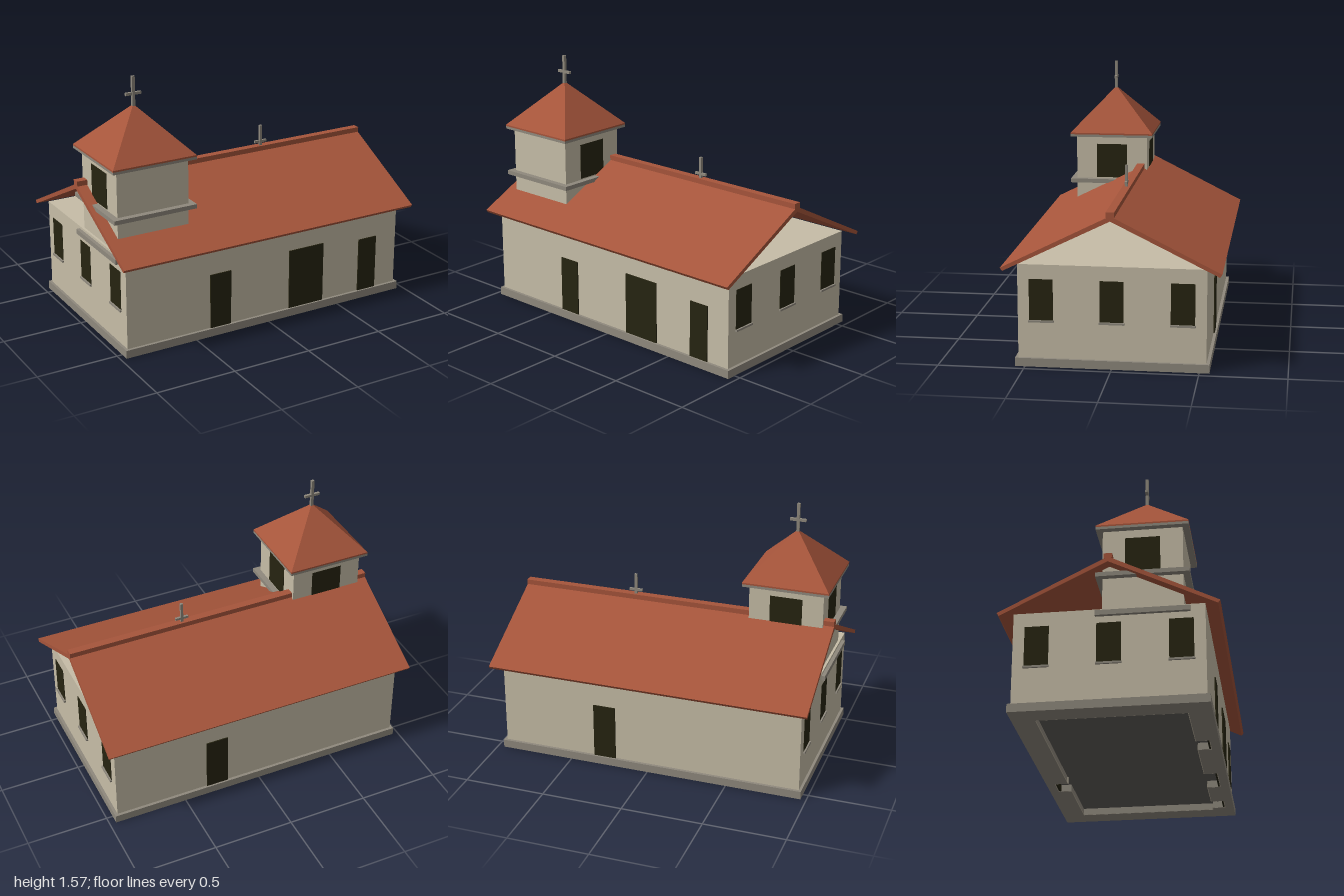
import * as THREE from 'three';

const mat = (name, color) => {
  const m = new THREE.MeshStandardMaterial({ color });
  m.name = name;
  return m;
};

export function createModel() {
  const model = new THREE.Group();
  const plaster = mat('plaster', 0xc6bda7);
  const tile = mat('roof tile', 0xa6553b);
  const stone = mat('stone', 0x8f897d);
  const dark = mat('dark opening', 0x262411);
  const floorGrey = mat('floor grey', 0x605d59);

  const add = (name, geometry, material, parent = model) => {
    const mesh = new THREE.Mesh(geometry, material);
    mesh.name = name;
    parent.add(mesh);
    return mesh;
  };
  // Box given by its limits on each axis
  const box = (name, material, [x0, x1], [y0, y1], [z0, z1], parent) => {
    const g = new THREE.BoxGeometry(x1 - x0, y1 - y0, z1 - z0);
    g.translate((x0 + x1) / 2, (y0 + y1) / 2, (z0 + z1) / 2);
    return add(name, g, material, parent);
  };

  // Main hall
  box('hallWalls', plaster, [-0.95, 0.942], [0.05, 0.6], [-0.54, 0.54]);
  box('floor', floorGrey, [-0.9, 0.9], [0.044, 0.049], [-0.52, 0.52]);

  // Doors: x limits, top height
  const frontDoors = [[-0.4, -0.26, 0.395], [0.15, 0.395, 0.43], [0.66, 0.79, 0.395]];
  const backDoors = [[0.21, 0.35, 0.395]];
  for (const [a, b, top] of frontDoors) box('frontDoor', dark, [a, b], [0.002, top], [0.49, 0.547]);
  for (const [a, b, top] of backDoors) box('backDoor', dark, [a, b], [0.002, top], [-0.547, -0.49]);

  // Hollow foundation, its inner outline notched at each doorway
  const innerOutline = (inset) => {
    const x = 0.825 - inset, z = 0.425 - inset, deep = 0.505 - inset;
    const pts = [[-x, -z]];
    for (const [a, b] of backDoors)
      pts.push([a + inset, -z], [a + inset, -deep], [b - inset, -deep], [b - inset, -z]);
    pts.push([x, -z], [x, z]);
    for (const [a, b] of [...frontDoors].reverse())
      pts.push([b - inset, z], [b - inset, deep], [a + inset, deep], [a + inset, z]);
    pts.push([-x, z]);
    return pts.map(([px, pz]) => new THREE.Vector2(px, -pz));
  };
  const ring = (name, outer, hole, y0, y1, material) => {
    const shape = new THREE.Shape(outer);
    shape.holes.push(new THREE.Path(hole));
    const g = new THREE.ExtrudeGeometry(shape, { depth: y1 - y0, bevelEnabled: false });
    g.rotateX(-Math.PI / 2).translate(0, y0, 0);
    return add(name, g, material);
  };
  const plinth = [[-0.966, -0.558], [0.96, -0.558], [0.96, 0.558], [-0.966, 0.558]]
    .map(([x, z]) => new THREE.Vector2(x, z));
  ring('plinth', plinth, innerOutline(0), 0, 0.05, stone);
  ring('plinthLining', innerOutline(0), innerOutline(0.004), 0.001, 0.048, plaster);

  // Three windows with sills on each end wall
  for (const [wall, s] of [[0.942, 1], [-0.95, -1]]) {
    for (const z of [-0.405, 0, 0.405]) {
      const span = (d) => [wall - 0.002, wall + s * d].sort((p, q) => p - q);
      box('endWindow', dark, span(0.003), [0.272, 0.515], [z - 0.069, z + 0.069]);
      box('windowSill', stone, span(0.013), [0.262, 0.274], [z - 0.073, z + 0.073]);
    }
  }

  // Gabled roof, open at both ends
  const gable = new THREE.Shape([[0, 0.904], [-0.627, 0.59], [-0.614, 0.572], [0, 0.874], [0.614, 0.572], [0.627, 0.59]]
    .map(([z, y]) => new THREE.Vector2(z, y)));
  const roof = new THREE.ExtrudeGeometry(gable, { depth: 2, bevelEnabled: false });
  roof.rotateY(Math.PI / 2).translate(-1, 0, 0);
  add('mainRoof', roof, tile);
  box('ridgeCap', tile, [-1, 1], [0.895, 0.926], [-0.024, 0.024]);

  // Bell tower
  const tower = new THREE.Group();
  tower.name = 'tower';
  tower.position.set(-0.705, 0, 0.19);
  model.add(tower);
  const slab = (name, material, half, y0, y1) =>
    box(name, material, [-half, half], [y0, y1], [-half, half], tower);
  slab('towerWalls', plaster, 0.23, 0.59, 1.11);
  slab('lowerBand', stone, 0.267, 0.555, 0.585);
  slab('upperBand', stone, 0.267, 0.797, 0.823);
  slab('towerCornice', stone, 0.267, 1.1, 1.116);
  slab('towerEaves', tile, 0.267, 1.116, 1.126);
  let spire = new THREE.ConeGeometry(0.267 * Math.SQRT2, 0.276, 4);
  spire.rotateY(Math.PI / 4).translate(0, 1.264, 0);
  spire = spire.toNonIndexed();
  spire.computeVertexNormals();
  add('towerRoof', spire, tile, tower);

  // Belfry openings on the sides and back
  for (const s of [-1, 1])
    box('belfryOpening', dark, s > 0 ? [0.228, 0.232] : [-0.232, -0.228], [0.83, 1.05], [-0.1, 0.1], tower);
  box('belfryOpening', dark, [-0.1, 0.1], [0.83, 1.05], [-0.232, -0.228], tower);

  // Crosses
  const cross = (name, x, z, y0, y1, armY, armHalf, t) => {
    const g = new THREE.Group();
    g.name = name;
    g.position.set(x, 0, z);
    box('crossPost', stone, [-t, t], [y0, y1], [-t, t], g);
    box('crossArm', stone, [-armHalf, armHalf], [armY - t * 0.9, armY + t * 0.9], [-t * 0.9, t * 0.9], g);
    model.add(g);
  };
  cross('towerCross', -0.705, 0.19, 1.38, 1.57, 1.466, 0.05, 0.009);
  cross('ridgeCross', 0.268, 0, 0.92, 1.056, 0.951, 0.042, 0.008);

  return model;
}
